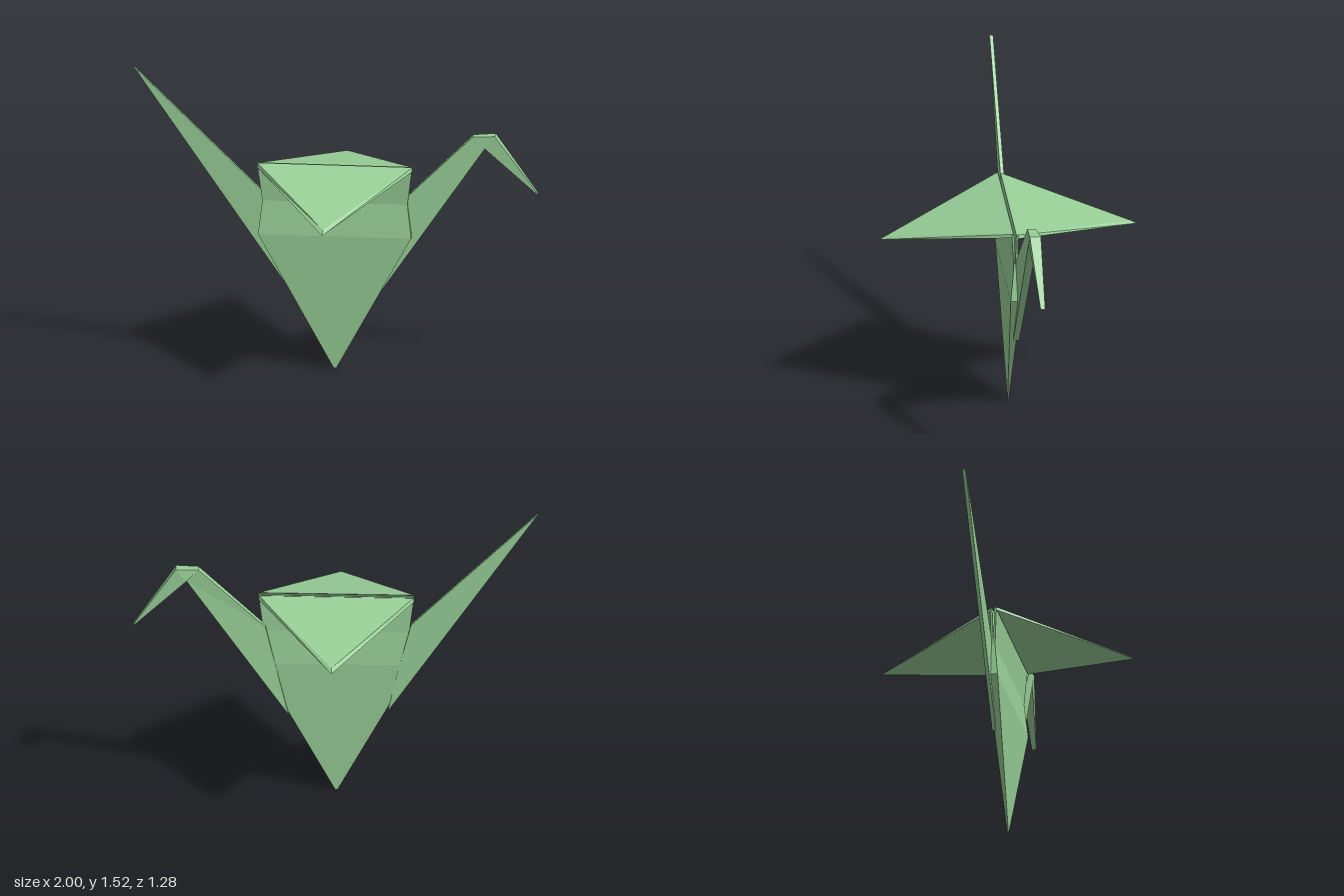
import * as THREE from 'three';

const paper = new THREE.MeshStandardMaterial({ color: 0x99d098, flatShading: true, side: THREE.DoubleSide });

// Closed solid through rings that all have the same number of [x, y, z] corners
function loft(name, rings) {
  const n = rings[0].length;
  const tris = [];
  for (let r = 0; r < rings.length - 1; r++) {
    for (let i = 0; i < n; i++) {
      const j = (i + 1) % n;
      const a = rings[r], b = rings[r + 1];
      tris.push([a[i], a[j], b[j]], [a[i], b[j], b[i]]);
    }
  }
  const first = rings[0], last = rings[rings.length - 1];
  for (let i = 1; i < n - 1; i++) {
    tris.push([first[0], first[i + 1], first[i]], [last[0], last[i], last[i + 1]]);
  }
  // Turn the faces outward if the rings run the other way
  const v = (p) => new THREE.Vector3(...p);
  const volume = tris.reduce((s, [a, b, c]) => s + v(a).dot(v(b).cross(v(c))), 0);
  if (volume < 0) tris.forEach((t) => t.reverse());

  const geometry = new THREE.BufferGeometry();
  geometry.setAttribute('position', new THREE.Float32BufferAttribute(tris.flat(2), 3));
  geometry.computeVertexNormals();
  const mesh = new THREE.Mesh(geometry, paper);
  mesh.name = name;
  return mesh;
}

// Folded body sheet; rows are [y, half width, inner z, outer z]
function bodyPanel(name, rows) {
  return loft(name, rows.map(([y, w, zi, zo]) => [[-w, y, zo], [w, y, zo], [w, y, zi], [-w, y, zi]]));
}

// Triangular wing with a bevelled rim; each face is [hinge y, hinge z, tip y, tip z]
function wing(name, faces) {
  return loft(name, faces.map(([hy, hz, ty, tz]) => [[-0.385, hy, hz], [0.385, hy, hz], [0, ty, tz]]));
}

// Cross-section of the neck, from its lower to its upper edge
function neckRing([lx, ly], [ux, uy], zFront, zBack) {
  return [[lx, ly, zFront], [ux, uy, zFront], [ux, uy, zBack], [lx, ly, zBack]];
}

export function createModel() {
  const crane = new THREE.Group();
  crane.name = 'paperCrane';

  // Body: two sheets meeting at the bottom point
  crane.add(bodyPanel('frontBody', [
    [0, 0.006, 0, 0.003], [0.69, 0.38, 0, 0.025], [0.86, 0.36, 0, 0.008], [1.05, 0.385, 0.008, 0.02],
  ]));
  crane.add(bodyPanel('backBody', [
    [0, 0.006, 0, -0.003], [0.69, 0.38, 0, -0.027], [0.86, 0.36, 0, -0.012], [1.05, 0.385, -0.002, -0.012],
  ]));

  // Wings
  crane.add(wing('frontWing', [[1.055, 0.012, 0.907, 0.605], [1.035, 0.022, 0.887, 0.64]]));
  crane.add(wing('backWing', [[1.05, -0.004, 0.935, -0.61], [1.03, -0.014, 0.918, -0.64]]));

  // Tail
  crane.add(loft('tail', [-0.01, -0.028].map((z) => [
    [-0.255, 0.44, z], [-0.31, 0.68, z], [-0.37, 0.91, z], [-1, 1.525, z],
  ])));

  // Neck, and head folded forward into a beak
  const throat = [0.74, 1.15], crown = [0.79, 1.215];
  crane.add(loft('neck', [
    neckRing([0.235, 0.415], [0.35, 0.89], -0.002, -0.032),
    neckRing(throat, [0.68, 1.21], -0.026, -0.068),
    neckRing(throat, crown, -0.028, -0.083),
  ]));
  crane.add(loft('beak', [
    neckRing(throat, crown, -0.028, -0.083),
    neckRing([0.995, 0.912], [1, 0.915], -0.06, -0.083),
  ]));

  return crane;
}
